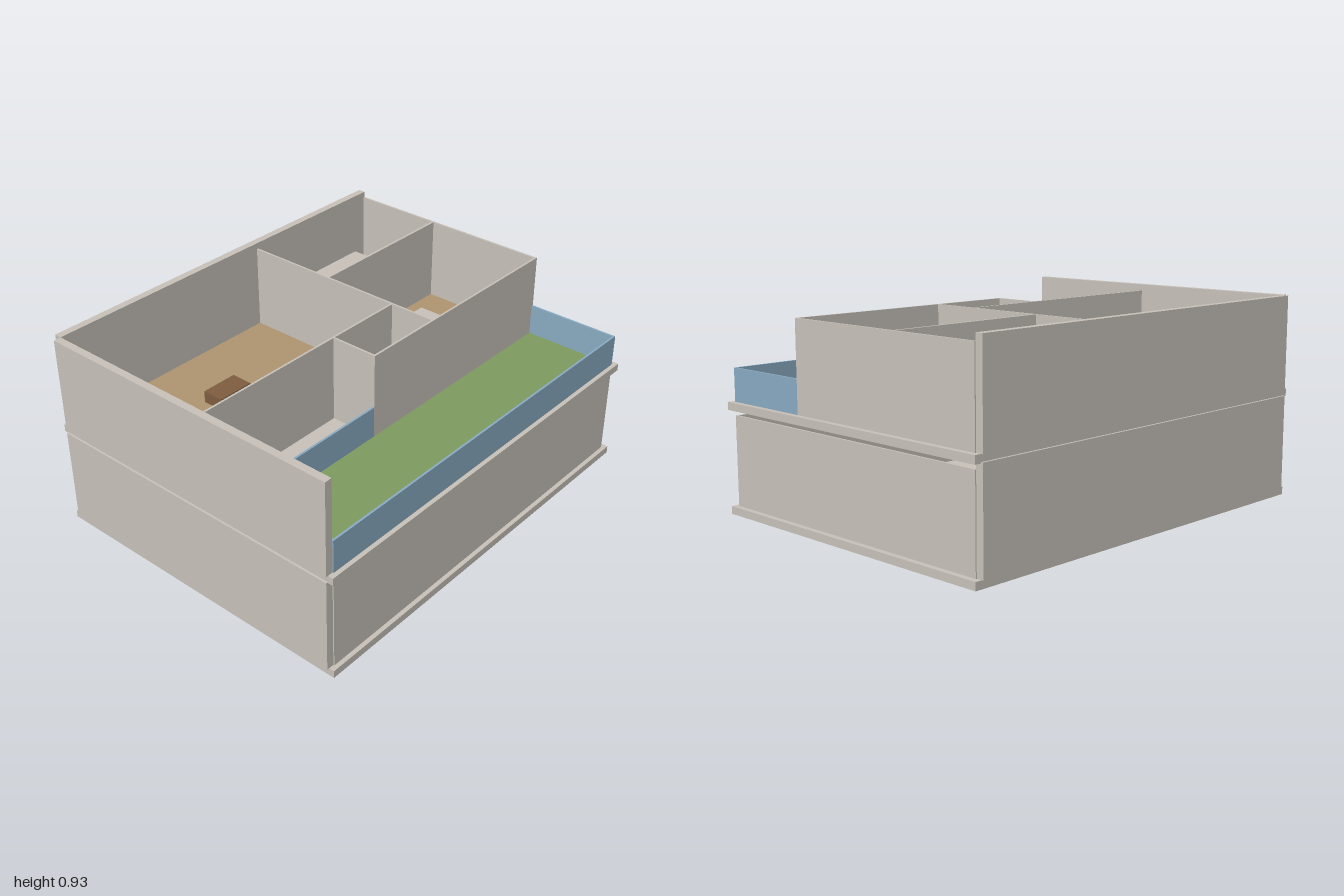
import * as THREE from 'three';

const material = (name, color) => {
  const m = new THREE.MeshStandardMaterial({ color });
  m.name = name;
  return m;
};

export function createModel() {
  const plaster = material('plaster', 0xc9c3bb);
  const wood = material('wood floor', 0xb09570);
  const grass = material('grass', 0x7f9c61);
  const glass = material('blue glass', 0x8aacc3);
  const darkWood = material('dark wood', 0x7f5e41);
  const fabric = material('grey fabric', 0x86847b);

  const model = new THREE.Group();
  model.name = 'house';

  // Box given by its limits on each axis
  const box = (parent, name, mat, [x0, x1], [y0, y1], [z0, z1]) => {
    const mesh = new THREE.Mesh(new THREE.BoxGeometry(x1 - x0, y1 - y0, z1 - z0), mat);
    mesh.position.set((x0 + x1) / 2, (y0 + y1) / 2, (z0 + z1) / 2);
    mesh.name = name;
    parent.add(mesh);
  };
  const group = (name) => {
    const g = new THREE.Group();
    g.name = name;
    model.add(g);
    return g;
  };

  // Both storeys: slab, thick side and back walls, thin right wall
  const storeys = [
    { name: 'lowerStorey', y: 0, top: 0.47, thinTop: 0.44, front: 0.755 },
    { name: 'upperStorey', y: 0.465, top: 0.93, thinTop: 0.9, front: 0.305 },
  ];
  for (const s of storeys) {
    const g = group(s.name);
    const base = s.y + 0.035;
    box(g, 'slab', plaster, [-0.99, 1], [s.y, base], [-0.765, 0.775]);
    box(g, 'thickSideWall', plaster, [-1, -0.965], [base, s.top], [-0.74, 0.75]);
    box(g, 'thickBackWall', plaster, [-0.965, 0.97], [base, s.top], [-0.775, -0.74]);
    box(g, 'thinSideWall', plaster, [0.965, 0.975], [base, s.thinTop], [-0.74, s.front]);
  }
  box(model.getObjectByName('lowerStorey'), 'frontWall', plaster,
    [-0.965, 0.965], [0.035, 0.44], [0.745, 0.755]);

  // Upper partitions: x range, z range
  const partitions = group('partitions');
  const Y = [0.5, 0.9];
  box(partitions, 'centreWall', plaster, [0.19, 0.2], Y, [-0.74, 0.295]);
  box(partitions, 'livingRoomWall', plaster, [-0.965, 0.19], Y, [0.07, 0.08]);
  box(partitions, 'hallWall', plaster, [-0.197, -0.187], Y, [0.08, 0.305]);
  box(partitions, 'bedroomWall', plaster, [0.2, 0.965], Y, [-0.305, -0.293]);
  box(partitions, 'terraceWall', plaster, [-0.187, 0.965], Y, [0.295, 0.305]);

  // Floor coverings
  const floors = group('floors');
  const F = [0.5, 0.504];
  box(floors, 'livingRoomFloor', wood, [-0.96, 0.19], F, [-0.74, 0.07]);
  box(floors, 'backRoomFloor', wood, [0.2, 0.965], F, [-0.74, -0.305]);
  box(floors, 'bedroomFloor', wood, [0.2, 0.965], F, [-0.293, 0.295]);
  box(floors, 'terraceLawn', grass, [-0.955, 0.965], F, [0.305, 0.745]);

  // Glass railing round the terrace
  const railing = group('glassRailing');
  const R = [0.5, 0.65];
  box(railing, 'frontPanel', glass, [-0.965, 0.975], R, [0.745, 0.755]);
  box(railing, 'leftPanel', glass, [0.965, 0.975], R, [0.305, 0.745]);
  box(railing, 'rightPanel', glass, [-0.965, -0.955], R, [0.305, 0.745]);
  box(railing, 'balconyPanel', glass, [-0.965, -0.197], R, [0.295, 0.305]);

  // Furniture
  const furniture = group('furniture');
  box(furniture, 'coffeeTable', darkWood, [-0.477, -0.297], [0.5, 0.56], [-0.43, -0.325]);
  box(furniture, 'sofa', fabric, [-0.577, -0.192], [0.5, 0.62], [-0.195, -0.062]);
  box(furniture, 'counter', plaster, [0.272, 0.888], [0.5, 0.63], [-0.73, -0.642]);
  box(furniture, 'diningTable', darkWood, [0.432, 0.728], [0.5, 0.61], [-0.54, -0.41]);
  box(furniture, 'bed', plaster, [0.45, 0.713], [0.5, 0.58], [-0.158, 0.154]);

  return model;
}
